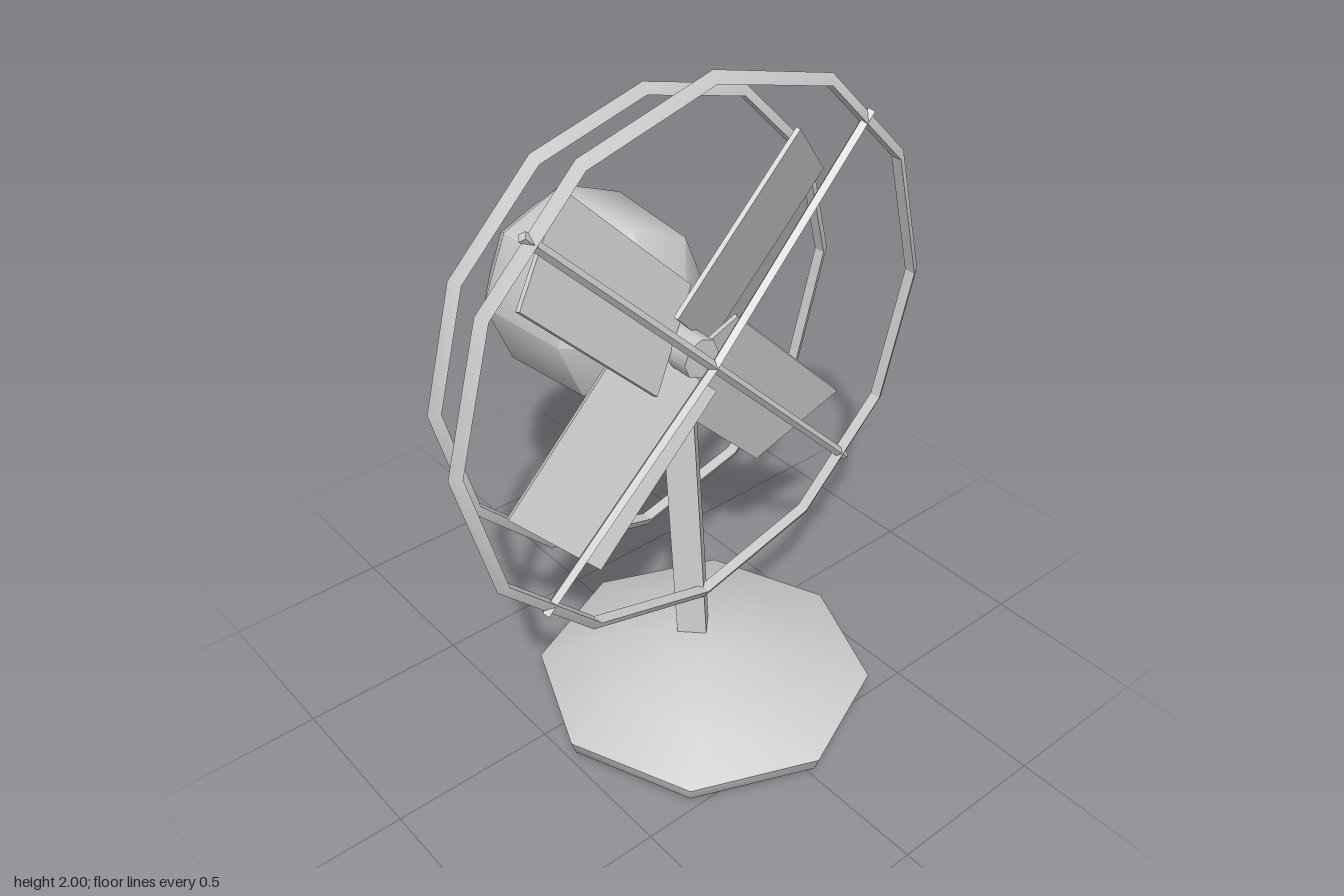
import * as THREE from 'three';
import { toCreasedNormals } from 'three/addons/utils/BufferGeometryUtils.js';

const AXIS_Y = 1.18; // height of the fan axis

export function createModel() {
  const fan = new THREE.Group();
  fan.name = 'deskFan';
  const grey = new THREE.MeshStandardMaterial({ color: 0xcccccc });
  grey.name = 'lightGrey';

  const add = (parent, name, geometry) => {
    const mesh = new THREE.Mesh(geometry, grey);
    mesh.name = name;
    parent.add(mesh);
    return mesh;
  };

  // Eight-sided turned shape, smooth except at hard edges
  const turned = (profile) => toCreasedNormals(
    new THREE.LatheGeometry(profile.map(([r, y]) => new THREE.Vector2(r, y)), 8), 0.85);

  // Straight faceted bar between two points
  const bar = (a, b, radius, sides) => {
    const dir = b.clone().sub(a);
    const geometry = new THREE.CylinderGeometry(radius, radius, dir.length(), sides);
    geometry.applyQuaternion(new THREE.Quaternion().setFromUnitVectors(
      new THREE.Vector3(0, 1, 0), dir.normalize()));
    const mid = a.clone().add(b).multiplyScalar(0.5);
    geometry.translate(mid.x, mid.y, mid.z);
    return toCreasedNormals(geometry, 0.5);
  };

  // Base
  add(fan, 'base', turned([
    [0, 0], [0.44, 0], [0.49, 0.035], [0.505, 0.08], [0.32, 0.16], [0.11, 0.22], [0, 0.22],
  ])).position.z = 0.145;

  // Leaning stem
  add(fan, 'stem', bar(
    new THREE.Vector3(0, 0.18, 0.098), new THREE.Vector3(0, 0.97, 0.027), 0.062, 4));

  // Head: everything centred on the fan axis
  const head = new THREE.Group();
  head.name = 'head';
  head.position.y = AXIS_Y;
  fan.add(head);

  const motor = turned([
    [0, -0.65], [0.16, -0.65], [0.29, -0.49], [0.265, -0.17], [0.09, -0.02], [0, -0.02],
  ]);
  add(head, 'motorHousing', motor.rotateX(Math.PI / 2));

  const hub = turned([[0, -0.03], [0.06, -0.03], [0.06, 0.12], [0, 0.12]]);
  add(head, 'hub', hub.rotateX(Math.PI / 2));

  // Four pitched blades and four guard struts on the diagonals
  for (let i = 0; i < 4; i++) {
    const angle = Math.PI / 4 + i * Math.PI / 2;
    const blade = new THREE.BoxGeometry(0.59, 0.325, 0.014);
    blade.rotateX(0.36).translate(0.345, 0, 0.04);
    add(head, 'blade', blade).rotation.z = angle;

    const strut = bar(
      new THREE.Vector3(0, 0, 0.172), new THREE.Vector3(0.8, 0, 0.146), 0.015, 4);
    add(head, 'guardStrut', strut).rotation.z = angle;
  }

  // Twelve-sided guard rings with a triangular section
  const ring = (name, radius, z) => {
    const geometry = new THREE.TorusGeometry(radius, 0.021, 3, 12);
    add(head, name, toCreasedNormals(geometry, 0.3)).position.z = z;
  };
  ring('frontGuardRing', 0.799, 0.147);
  ring('backGuardRing', 0.689, -0.12);

  return fan;
}
